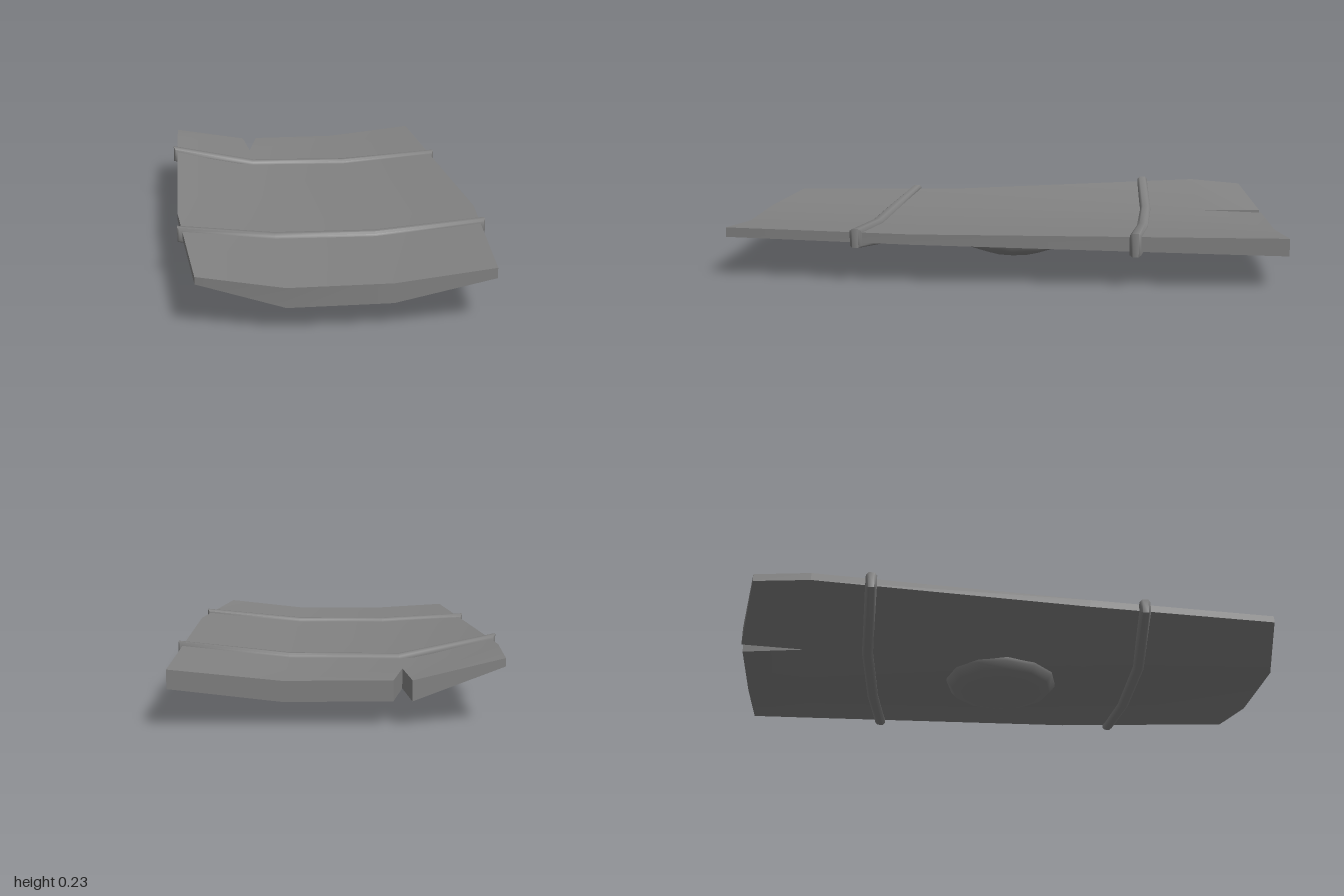
import * as THREE from 'three';
import { toCreasedNormals } from 'three/addons/utils/BufferGeometryUtils.js';

const material = new THREE.MeshStandardMaterial({ color: 0x828282 });

function quadMesh(name, quads, crease) {
  const pos = [];
  for (const [a, b, c, d] of quads) pos.push(...a, ...b, ...c, ...a, ...c, ...d);
  const geo = new THREE.BufferGeometry();
  geo.setAttribute('position', new THREE.Float32BufferAttribute(pos, 3));
  const mesh = new THREE.Mesh(toCreasedNormals(geo, crease), material);
  mesh.name = name;
  return mesh;
}

// Slab faces from rows running front to back; each row holds [x, z, topY, bottomY] from -x to +x.
// leftFrom and rightFrom give the first row interval that has a side wall.
function slabQuads(rows, leftFrom, rightFrom) {
  const T = ([x, z, t]) => [x, t, z];
  const B = ([x, z, , b]) => [x, b, z];
  const quads = [];
  const wall = (p, q) => quads.push([B(p), B(q), T(q), T(p)]);
  const n = rows[0].length - 1, m = rows.length - 1;
  for (let i = 0; i < m; i++) {
    const f = rows[i], k = rows[i + 1];
    for (let j = 0; j < n; j++) {
      quads.push([T(f[j]), T(f[j + 1]), T(k[j + 1]), T(k[j])]);
      quads.push([B(f[j]), B(k[j]), B(k[j + 1]), B(f[j + 1])]);
    }
    if (i >= leftFrom) wall(k[0], f[0]);
    if (i >= rightFrom) wall(f[n], k[n]);
  }
  for (let j = 0; j < n; j++) {
    wall(rows[0][j], rows[0][j + 1]);
    wall(rows[m][j + 1], rows[m][j]);
  }
  return quads;
}

// Strap wrapped round the board; stations are [x, z, topY, bottomY] from -x to +x.
function strap(name, stations) {
  const loop = [
    ...stations.map(([x, z, , b]) => new THREE.Vector3(x, b, z)),
    ...[...stations].reverse().map(([x, z, t]) => new THREE.Vector3(x, t, z)),
  ];
  const profile = [[-0.006, -0.021], [0.008, -0.02], [0.015, -0.011],
    [0.015, 0.011], [0.008, 0.02], [-0.006, 0.021]];
  const n = loop.length;
  const edgeNormal = (p, q) => new THREE.Vector2(q.y - p.y, p.x - q.x).normalize();
  const rings = loop.map((p, i) => {
    const a = edgeNormal(loop[(i + n - 1) % n], p), b = edgeNormal(p, loop[(i + 1) % n]);
    const miter = a.clone().add(b).divideScalar(1 + a.dot(b));
    return profile.map(([d, w]) => [p.x + miter.x * d, p.y + miter.y * d, p.z + w]);
  });
  const quads = [];
  for (let i = 0; i < n; i++) {
    const r = rings[i], s = rings[(i + 1) % n];
    for (let j = 0; j < profile.length; j++) {
      const k = (j + 1) % profile.length;
      quads.push([r[j], s[j], s[k], r[k]]);
    }
  }
  return quadMesh(name, quads, 1.2);
}

export function createModel() {
  const group = new THREE.Group();
  group.name = 'curvedShield';
  const top = 0.145, low = 0.078;

  // Board: the two halves share a line as far as the split at the back
  const seam = [[-0.23, 1, top, low], [-0.224, 0.28, top, low], [-0.215, -0.77, top, low]];
  const narrowSide = [
    [[-0.515, 0.93, 0.17, 0.145], seam[0]],
    [[-0.555, 0.24, 0.17, 0.143], seam[1]],
    [[-0.535, -0.75, 0.223, 0.195], seam[2]],
    [[-0.53, -0.95, 0.207, 0.18], [-0.23, -1, top, low]],
  ];
  const wideSide = [
    [seam[0], [0.115, 1, top, low], [0.45, 1, 0.182, 0.147]],
    [seam[1], [0.14, 0.3, top, low], [0.54, 0.32, 0.182, 0.145]],
    [seam[2], [0.175, -0.77, top, low], [0.54, -0.77, 0.182, 0.124]],
    [[-0.17, -1, top, low], [0.18, -1, top, low], [0.54, -1, 0.182, 0.12]],
  ];
  group.add(quadMesh('board', [...slabQuads(narrowSide, 0, 2), ...slabQuads(wideSide, 2, 0)], 0.5));

  // Straps
  group.add(strap('frontStrap', [
    [-0.545, 0.44, 0.167, 0.143], [-0.22, 0.485, top, low],
    [0.135, 0.5, top, low], [0.515, 0.515, 0.18, 0.142],
  ]));
  group.add(strap('backStrap', [
    [-0.54, -0.54, 0.211, 0.181], [-0.22, -0.54, top, low],
    [0.165, -0.51, top, low], [0.54, -0.47, 0.18, 0.126],
  ]));

  // Shallow boss on the underside
  const points = [[0.001, 0], [0.11, 0.012], [0.19, 0.041], [0.212, 0.066], [0.212, 0.09]]
    .map(([r, y]) => new THREE.Vector2(r, y));
  const boss = new THREE.Mesh(new THREE.LatheGeometry(points, 12), material);
  boss.name = 'boss';
  boss.position.set(-0.027, 0, -0.018);
  group.add(boss);

  return group;
}
